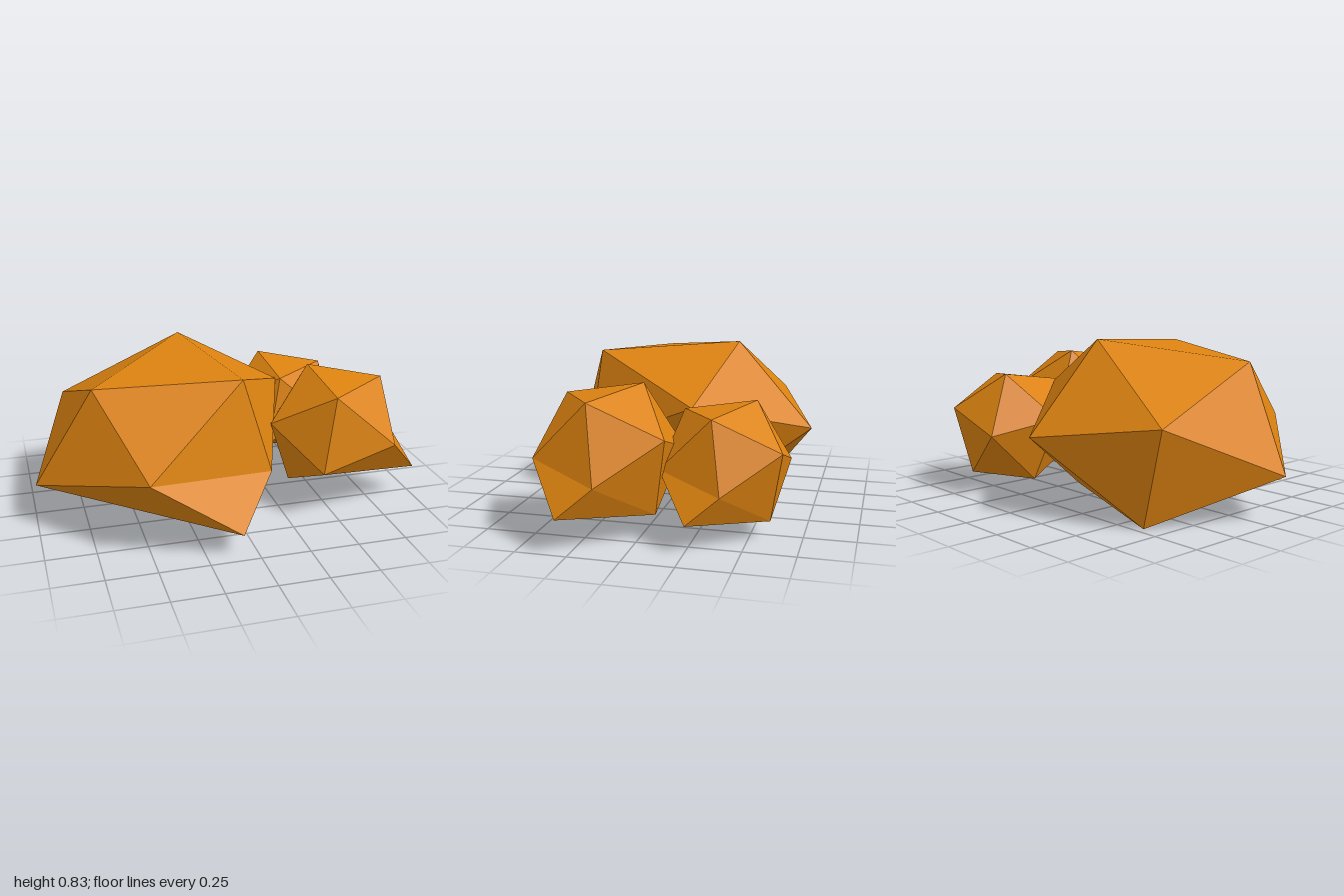
import * as THREE from 'three';

// Twenty-sided rock: a top point, five upper points (clockwise from above),
// five lower points mirrored through the centre, and a pulled-out base point.
function rockGeometry(center, top, ring, base) {
  const lower = ring.map((_, i) => ring[(i + 3) % 5].map((v, k) => 2 * center[k] - v));
  const corners = [];
  for (let i = 0; i < 5; i++) {
    const j = (i + 1) % 5;
    corners.push(
      top, ring[j], ring[i],
      ring[i], ring[j], lower[i],
      lower[i], ring[j], lower[j],
      base, lower[i], lower[j],
    );
  }
  const geometry = new THREE.BufferGeometry();
  geometry.setAttribute('position', new THREE.Float32BufferAttribute(corners.flat(), 3));
  geometry.computeVertexNormals();
  return geometry;
}

export function createModel() {
  const group = new THREE.Group();
  group.name = 'rockCluster';

  const orange = new THREE.MeshStandardMaterial({ color: 0xdc8210 });
  orange.name = 'orange rock';
  orange.flatShading = true;

  const add = (name, geometry) => {
    const mesh = new THREE.Mesh(geometry, orange);
    mesh.name = name;
    group.add(mesh);
    return mesh;
  };

  // Large rock
  add('largeRock', rockGeometry(
    [-0.315, 0.395, -0.03],
    [-0.155, 0.835, -0.315],
    [[-0.7, 0.73, 0.195], [-0.78, 0.49, -0.49], [-0.12, 0.39, -0.715], [0.365, 0.57, -0.175], [0.005, 0.785, 0.4]],
    [-0.075, 0.115, 0.71],
  ));

  // Two small rocks share a shape; the rear one is a little smaller
  const center = [0.58, 0.385, 0.173];
  const small = rockGeometry(
    center,
    [0.47, 0.71, 0.035],
    [[0.49, 0.65, 0.42], [0.215, 0.46, 0.205], [0.37, 0.38, -0.14], [0.75, 0.5, -0.14], [0.815, 0.67, 0.21]],
    [0.995, 0.17, 0.305],
  ).translate(...center.map((v) => -v));

  add('frontSmallRock', small).position.set(...center);
  const rear = add('rearSmallRock', small);
  rear.position.set(0.466, 0.333, -0.373);
  rear.scale.setScalar(0.913);

  return group;
}
